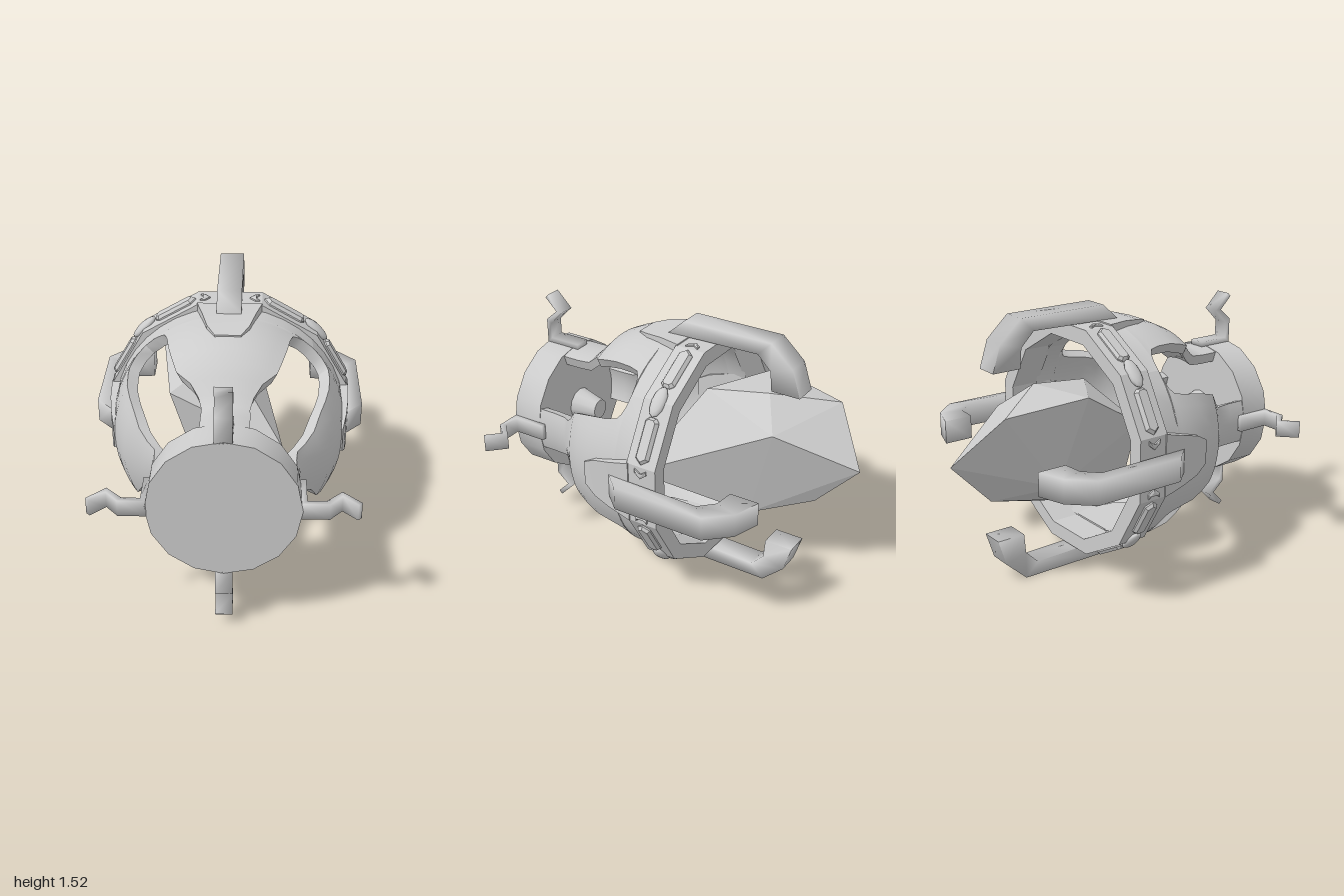
import * as THREE from 'three';
import { toCreasedNormals } from 'three/addons/utils/BufferGeometryUtils.js';
import { ConvexGeometry } from 'three/addons/geometries/ConvexGeometry.js';

const material = new THREE.MeshStandardMaterial({ color: 0xcccccc });
const flat = new THREE.MeshStandardMaterial({ color: 0xcccccc, flatShading: true });

function add(parent, name, geometry, mat = material) {
  const mesh = new THREE.Mesh(geometry, mat);
  mesh.name = name;
  parent.add(mesh);
  return mesh;
}

// Skin a series of closed loops of points, capping both ends if asked
function loft(loops, caps, crease = 0.7) {
  const n = loops[0].length, last = (loops.length - 1) * n, index = [];
  for (let i = 0; i < loops.length - 1; i++) {
    for (let j = 0; j < n; j++) {
      const a = i * n + j, b = i * n + (j + 1) % n;
      index.push(a, b, b + n, a, b + n, a + n);
    }
  }
  if (caps) {
    for (let j = 1; j < n - 1; j++) index.push(0, j + 1, j, last, last + j, last + j + 1);
  }
  const g = new THREE.BufferGeometry();
  g.setAttribute('position', new THREE.Float32BufferAttribute(loops.flat(2), 3));
  g.setIndex(index);
  return toCreasedNormals(g, crease);
}

// Bar of rectangular section; each station is [zA, rA, zB, rB, halfWidth]
function bar(stations, crease) {
  return loft(stations.map(([za, ra, zb, rb, w]) =>
    [[-w, ra, za], [w, ra, za], [w, rb, zb], [-w, rb, zb]]), true, crease);
}

// One quarter of the cage: [z, outer radius, half angle in degrees]
function cageQuarter() {
  const rows = [
    [0.86, 0.39, 19], [0.72, 0.39, 19], [0.64, 0.395, 18.5], [0.59, 0.44, 19], [0.53, 0.5, 22],
    [0.47, 0.562, 28], [0.39, 0.6, 29], [0.3, 0.632, 30], [0.2, 0.645, 31], [0.14, 0.65, 32.5],
    [0.12, 0.65, 35], [0.105, 0.652, 39], [0.1, 0.652, 45], [-0.02, 0.655, 45],
  ];
  const steps = 10;
  return loft(rows.map(([z, r, deg]) => {
    const a = THREE.MathUtils.degToRad(deg), loop = [];
    for (let side = 0; side < 2; side++) {
      for (let i = 0; i <= steps; i++) {
        const t = (side ? 1 : -1) * a * (1 - 2 * i / steps), q = r - side * 0.065;
        loop.push([q * Math.sin(t), q * Math.cos(t), z]);
      }
    }
    return loop;
  }), false);
}

// Thin bevelled inlay lying on a ring facet; points are [tangent, z]
function inlay(points, mirror, height) {
  const shape = new THREE.Shape(points.map(([t, z]) => new THREE.Vector2(t * mirror, -z)));
  const g = new THREE.ExtrudeGeometry(shape, {
    depth: 0.01, bevelEnabled: true, bevelSize: 0.012, bevelOffset: -0.012,
    bevelThickness: height, bevelSegments: 1,
  });
  return g.rotateX(-Math.PI / 2).translate(0, 0.665, -0.09);
}

function polygon(path, radius, sides) {
  for (let i = 0; i <= sides; i++) {
    const a = (i + 0.5) / sides * Math.PI * 2;
    path[i ? 'lineTo' : 'moveTo'](radius * Math.cos(a), radius * Math.sin(a));
  }
  return path;
}

export function createModel() {
  const model = new THREE.Group();
  model.name = 'crystalLantern';
  const body = new THREE.Group();
  body.name = 'body';
  body.position.y = 0.76;
  model.add(body);

  // Solid round base with a tapered stud inside the cage
  const base = new THREE.CylinderGeometry(0.4, 0.4, 0.18, 16).rotateX(Math.PI / 2).translate(0, 0, 0.91);
  add(body, 'base', toCreasedNormals(base, 0.7));
  const stud = new THREE.CylinderGeometry(0.1, 0.06, 0.16, 12).rotateX(Math.PI / 2).translate(0, 0, 0.75);
  add(body, 'innerStud', toCreasedNormals(stud, 0.7));

  // Twelve-sided rim
  const ring = polygon(new THREE.Shape(), 0.69, 12);
  ring.holes.push(polygon(new THREE.Path(), 0.6, 12));
  add(body, 'rim', new THREE.ExtrudeGeometry(ring, { depth: 0.18, bevelEnabled: false }).translate(0, 0, -0.18));

  // Shared geometry of the parts repeated around the axis
  const cage = cageQuarter();
  const shield = bar([
    [0.31, 0.635, 0.31, 0.55, 0.07], [0.23, 0.655, 0.23, 0.55, 0.115],
    [0.12, 0.67, 0.12, 0.56, 0.145], [-0.01, 0.674, -0.01, 0.57, 0.18],
  ], 0.4);
  const claw = bar([
    [0.02, 0.76, 0.12, 0.67, 0.068], [-0.52, 0.76, -0.44, 0.68, 0.068],
    [-0.65, 0.64, -0.52, 0.6, 0.068], [-0.7, 0.485, -0.53, 0.485, 0.068],
  ], 1.7);
  const foot = bar([
    [0.78, 0.39, 0.78, 0.42, 0.046], [1, 0.39, 0.97, 0.42, 0.046], [1, 0.535, 0.97, 0.515, 0.046],
    [0.925, 0.6, 0.885, 0.6, 0.046], [1, 0.675, 0.98, 0.695, 0.046],
  ], 1.7);
  const oval = new THREE.SphereGeometry(1, 12, 8).scale(0.088, 0.026, 0.042).translate(0, 0.686, -0.09);

  for (let k = 0; k < 4; k++) {
    const quarter = new THREE.Group();
    quarter.name = 'quarter' + (k + 1);
    quarter.rotation.z = -k * Math.PI / 2;
    body.add(quarter);
    add(quarter, 'cageArm', cage);
    add(quarter, 'shieldPlate', shield);
    add(quarter, 'claw', claw);
    add(quarter, 'footHook', foot);
    add(quarter, 'ovalStud', oval).rotation.z = -Math.PI / 4;

    for (const s of [-1, 1]) {
      const strip = [[-0.165, 0], [-0.135, -0.04], [0.07, -0.04], [0.09, -0.02],
        [0.09, 0.02], [0.07, 0.04], [-0.135, 0.04]];
      add(quarter, 'rimInlay', inlay(strip, s, 0.017), flat).rotation.z = -s * Math.PI / 6;
      const chevron = [[0.11, 0], [0.14, -0.036], [0.165, -0.036], [0.14, 0], [0.165, 0.036], [0.14, 0.036]];
      add(quarter, 'chevron', inlay(chevron, s, 0.006), flat);
    }
  }

  // Faceted crystal, slightly askew
  const corners = [
    [-0.11, 0.8, -1], [-0.31, 1.08, -0.78], [-0.07, 1.15, -0.45], [0.11, 1.0, -0.57],
    [-0.09, 0.54, -0.75], [0.04, 0.41, -0.4], [-0.4, 1.13, -0.32], [-0.3, 0.62, -0.45],
    [0.31, 0.63, 0.2], [-0.02, 1.1, -0.08], [-0.19, 0.4, 0.04], [-0.34, 0.9, 0.06],
  ].map(([x, y, z]) => new THREE.Vector3(x, y - 0.76, z));
  add(body, 'crystal', new ConvexGeometry(corners), flat);

  return model;
}
